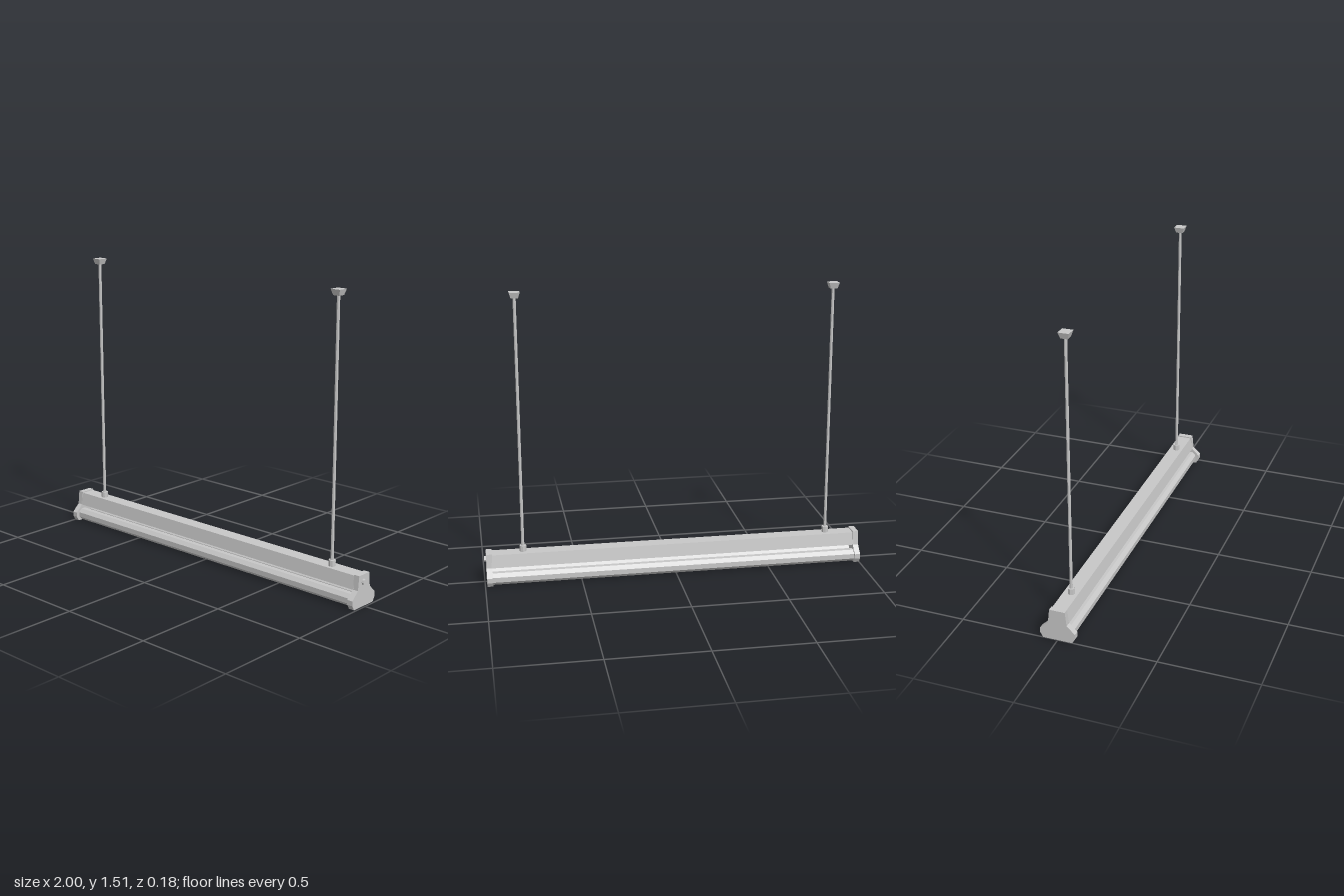
import * as THREE from 'three';

export function createModel() {
  const group = new THREE.Group();
  const grey = new THREE.MeshStandardMaterial({ color: 0xc8c8c8, flatShading: true });
  grey.name = 'light grey metal';

  const add = (name, geometry, x = 0, y = 0, z = 0) => {
    const mesh = new THREE.Mesh(geometry, grey);
    mesh.name = name;
    mesh.position.set(x, y, z);
    group.add(mesh);
    return mesh;
  };

  // Extrudes a (z, y) cross-section along x, from x0 to x1
  const prism = (name, points, x0, x1) => {
    const shape = new THREE.Shape(points.map(([z, y]) => new THREE.Vector2(-z, y)));
    const geo = new THREE.ExtrudeGeometry(shape, { depth: x1 - x0, bevelEnabled: false });
    geo.rotateY(Math.PI / 2);
    return add(name, geo, x0);
  };

  // Tapered housing between the end caps
  prism('housing', [[-0.05, 0.09], [0.05, 0.09], [0.036, 0.157], [-0.038, 0.157]], -0.975, 0.965);

  // End caps
  const cap = [
    [-0.075, 0], [0.075, 0], [0.09, 0.025], [0.09, 0.05], [0.048, 0.09],
    [0.04, 0.163], [-0.04, 0.163], [-0.048, 0.09], [-0.09, 0.05], [-0.09, 0.025],
  ];
  prism('rightEndCap', cap, -1, -0.97);
  prism('leftEndCap', cap, 0.96, 0.99);

  // Cable knob on the left cap
  const knob = new THREE.CylinderGeometry(0.016, 0.016, 0.012, 8);
  knob.rotateZ(Math.PI / 2);
  add('cableKnob', knob, 0.994, 0.125, 0.004);

  // Two octagonal lamp tubes
  for (const [name, z] of [['frontTube', 0.039], ['backTube', -0.048]]) {
    const tube = new THREE.CylinderGeometry(0.034, 0.034, 1.94, 8);
    tube.rotateY(Math.PI / 8);
    tube.rotateZ(Math.PI / 2);
    add(name, tube, -0.005, 0.035, z);
  }

  // Hanging rods with a socket below and a square ceiling mount above
  for (const [side, x] of [['right', -0.825], ['left', 0.798]]) {
    add(side + 'RodSocket', new THREE.CylinderGeometry(0.018, 0.018, 0.034, 8), x, 0.171, 0.002);
    add(side + 'Rod', new THREE.CylinderGeometry(0.008, 0.008, 1.31, 8), x, 0.835, 0.002);
    const mount = new THREE.CylinderGeometry(0.027 * Math.SQRT2, 0.018 * Math.SQRT2, 0.03, 4);
    mount.rotateY(Math.PI / 4);
    add(side + 'CeilingMount', mount, x, 1.5, 0.002);
  }
  return group;
}
